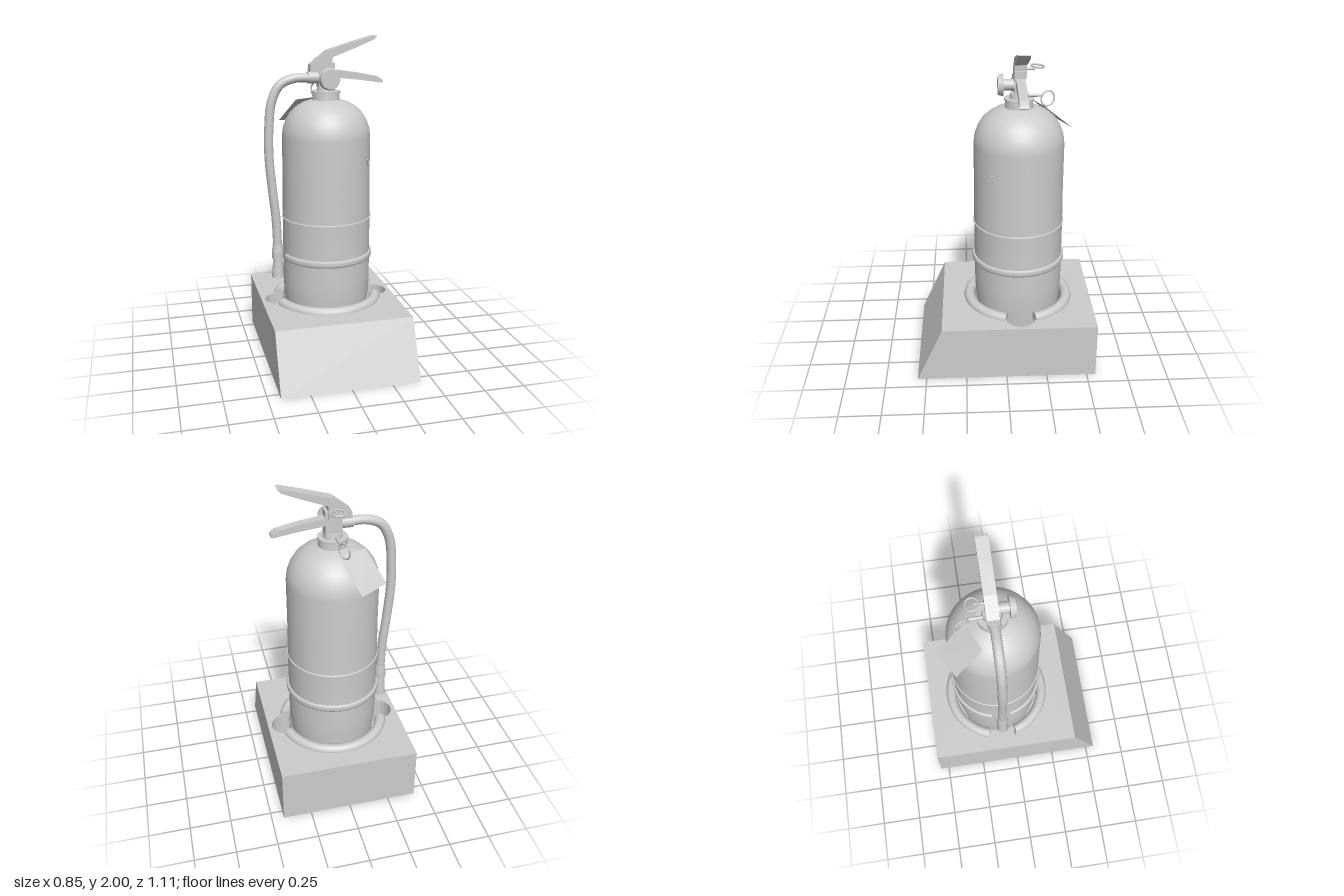
import * as THREE from 'three';

const AXIS_Z = -0.09; // the bottle stands a little behind the middle of the stand

export function createModel() {
  const root = new THREE.Group();
  root.name = 'extinguisherOnStand';
  const grey = new THREE.MeshStandardMaterial({ color: 0xcccccc, side: THREE.DoubleSide });
  grey.name = 'light grey';
  const V3 = (x, y, z) => new THREE.Vector3(x, y, z);
  const V2 = (x, y) => new THREE.Vector2(x, y);

  function add(parent, name, geometry, x = 0, y = 0, z = 0) {
    const mesh = new THREE.Mesh(geometry, grey);
    mesh.name = name;
    mesh.position.set(x, y, z);
    parent.add(mesh);
    return mesh;
  }

  // Faceted wall between two closed loops of points
  function loft(low, high) {
    const pos = [];
    low.forEach((a, i) => {
      const j = (i + 1) % low.length;
      for (const p of [a, low[j], high[j], a, high[j], high[i]]) pos.push(p.x, p.y, p.z);
    });
    const g = new THREE.BufferGeometry();
    g.setAttribute('position', new THREE.Float32BufferAttribute(pos, 3));
    g.computeVertexNormals();
    return g;
  }

  // ---- Stand: open underneath, sloping front, recess in the top ----
  const stand = new THREE.Group();
  stand.name = 'stand';
  root.add(stand);
  const W = 0.425, BACK = -0.555, TOP = 0.35, FLOOR = 0.17;
  const rect = (y, front) => [V3(-W, y, front), V3(W, y, front), V3(W, y, BACK), V3(-W, y, BACK)];
  add(stand, 'standSides', loft(rect(0, 0.555), rect(TOP, 0.395)));

  // Recess outline: a circle with a round finger notch on each side
  const outline = [];
  for (let i = 0; i < 120; i++) {
    const a = (i / 120) * Math.PI * 2;
    const s = Math.abs(Math.sin(a)), c = Math.abs(Math.cos(a));
    const notch = 0.09 ** 2 - (0.31 * s) ** 2;
    const r = notch > 0 ? 0.31 * c + Math.sqrt(notch) : 0.285;
    outline.push(V2(r * Math.cos(a), r * Math.sin(a) - AXIS_Z));
  }
  const topShape = new THREE.Shape([V2(-W, -0.395), V2(W, -0.395), V2(W, -BACK), V2(-W, -BACK)]);
  topShape.holes.push(new THREE.Path(outline));
  add(stand, 'standTop', new THREE.ShapeGeometry(topShape).rotateX(-Math.PI / 2), 0, TOP);
  add(stand, 'recessFloor', new THREE.ShapeGeometry(new THREE.Shape(outline)).rotateX(-Math.PI / 2), 0, FLOOR);
  const loop = y => outline.map(p => V3(p.x, y, -p.y)).reverse();
  add(stand, 'recessWall', loft(loop(FLOOR), loop(TOP)));

  // Raised rim in two halves
  const gap = 0.28;
  for (const start of [gap, Math.PI + gap]) {
    const rim = new THREE.Group();
    rim.name = 'rimHalf';
    rim.position.set(0, TOP, AXIS_Z);
    rim.rotation.y = start;
    stand.add(rim);
    const arc = Math.PI - 2 * gap;
    add(rim, 'rim', new THREE.TorusGeometry(0.313, 0.034, 14, 30, arc).rotateX(-Math.PI / 2));
    for (const a of [0, arc]) {
      add(rim, 'rimEnd', new THREE.CircleGeometry(0.034, 14),
        0.313 * Math.cos(a), 0, -0.313 * Math.sin(a)).rotation.y = a;
    }
  }

  // ---- Bottle ----
  const bottle = new THREE.Group();
  bottle.name = 'bottle';
  bottle.position.z = AXIS_Z;
  root.add(bottle);
  const lathe = (name, pts, seg = 48) =>
    add(bottle, name, new THREE.LatheGeometry(pts.map(p => V2(...p)), seg));
  lathe('lowerBody', [[0.25, 0.18], [0.262, 0.32], [0.272, 0.4], [0.275, 0.5], [0.275, 0.67]]);
  // The band ends in a small overhanging lip
  lathe('labelBand', [[0.275, 0.66], [0.275, 0.888], [0.281, 0.89]]);
  lathe('labelLip', [[0.281, 0.89], [0.281, 0.897], [0.272, 0.897]]);
  lathe('upperBody', [[0.275, 0.89], [0.272, 1.1], [0.272, 1.4], [0.266, 1.45], [0.248, 1.5],
    [0.22, 1.545], [0.182, 1.58], [0.14, 1.605], [0.085, 1.622]]);
  add(bottle, 'neck', new THREE.CylinderGeometry(0.08, 0.085, 0.06, 32), 0, 1.64);
  add(bottle, 'neckRing', new THREE.CylinderGeometry(0.088, 0.088, 0.012, 32), 0, 1.668);
  add(bottle, 'valveStem', new THREE.CylinderGeometry(0.052, 0.058, 0.03, 24), 0, 1.688);

  // Strap, open behind the hose
  const strapGap = 0.22;
  const strap = [[0.274, 0.63], [0.285, 0.63], [0.289, 0.64], [0.289, 0.66], [0.285, 0.67], [0.274, 0.67]];
  add(bottle, 'strap', new THREE.LatheGeometry(strap.map(p => V2(...p)), 48,
    -Math.PI / 2 + strapGap, 2 * Math.PI - 2 * strapGap));

  // Small pointed marker on the front left
  const marker = new THREE.Shape([V2(-0.014, 0.022), V2(0.014, 0.022), V2(0.008, -0.024)]);
  add(bottle, 'marker', new THREE.ExtrudeGeometry(marker, { depth: 0.008, bevelEnabled: false }),
    0.214, 1.25, 0.17).rotation.y = 0.9;

  // ---- Valve, levers and gauge ----
  const valve = new THREE.Group();
  valve.name = 'valve';
  valve.position.z = AXIS_Z;
  root.add(valve);
  add(valve, 'valveBody', new THREE.BoxGeometry(0.1, 0.15, 0.062), 0, 1.765);
  function lever(name, pts, width) {
    const g = new THREE.ExtrudeGeometry(new THREE.Shape(pts.map(p => V2(...p))),
      { depth: width, bevelEnabled: false });
    add(valve, name, g, 0, 0, -width / 2 - 0.005);
  }
  lever('upperLever', [[-0.105, 1.79], [0.03, 1.79], [0.035, 1.875], [0.17, 1.925], [0.29, 1.975],
    [0.312, 1.998], [0.3, 2], [0.16, 1.962], [0.005, 1.915], [-0.1, 1.832]], 0.07);
  lever('lowerLever', [[-0.02, 1.77], [0.06, 1.752], [0.21, 1.735], [0.345, 1.714], [0.357, 1.72],
    [0.35, 1.735], [0.325, 1.752], [0.2, 1.778], [0.05, 1.8], [-0.02, 1.815]], 0.052);
  const zCyl = (r0, r1, len) => new THREE.CylinderGeometry(r0, r1, len, 32).rotateX(Math.PI / 2);
  add(valve, 'gaugeStem', zCyl(0.032, 0.032, 0.08), 0, 1.752, 0.06);
  add(valve, 'gauge', zCyl(0.058, 0.066, 0.03), 0, 1.752, 0.108);
  add(valve, 'gaugeFace', zCyl(0.054, 0.054, 0.006), 0, 1.752, 0.123);

  // Safety pin with a flat pull ring
  add(valve, 'pin', zCyl(0.007, 0.007, 0.12), 0, 1.845, -0.03);
  add(valve, 'pinRing', new THREE.TorusGeometry(0.036, 0.006, 8, 24).rotateX(Math.PI / 2 - 0.1),
    -0.005, 1.86, -0.105);
  // Tag peg and ring
  add(valve, 'tagPeg', zCyl(0.01, 0.01, 0.1), -0.01, 1.685, -0.08);
  const ring = add(valve, 'tagRing', new THREE.TorusGeometry(0.045, 0.005, 8, 24), -0.025, 1.66, -0.17);
  ring.rotation.y = Math.PI / 2 + 0.45;

  // Card tag resting on the shoulder
  const tag = [V3(-0.17, 1.615, -0.17), V3(0.005, 1.62, -0.24), V3(-0.085, 1.455, -0.42), V3(-0.25, 1.465, -0.33)];
  const tagGeo = new THREE.BufferGeometry().setFromPoints([tag[0], tag[1], tag[2], tag[0], tag[2], tag[3]]);
  tagGeo.computeVertexNormals();
  add(root, 'tag', tagGeo);

  // ---- Hose ----
  const hose = new THREE.Group();
  hose.name = 'hose';
  hose.position.z = AXIS_Z;
  root.add(hose);
  const path = new THREE.CatmullRomCurve3([
    V3(-0.09, 1.755, 0), V3(-0.2, 1.752, 0), V3(-0.285, 1.715, 0), V3(-0.335, 1.62, 0), V3(-0.356, 1.45, 0),
    V3(-0.358, 1.28, 0), V3(-0.342, 1.08, 0), V3(-0.322, 0.88, 0), V3(-0.315, 0.68, 0)]);
  add(hose, 'hoseTube', new THREE.TubeGeometry(path, 64, 0.028, 14));
  add(hose, 'hoseFitting', new THREE.CylinderGeometry(0.036, 0.036, 0.07, 20).rotateZ(Math.PI / 2), -0.08, 1.755);
  add(hose, 'hoseCollar', new THREE.CylinderGeometry(0.031, 0.037, 0.05, 20), -0.315, 0.695);
  add(hose, 'hoseClip', new THREE.CylinderGeometry(0.037, 0.037, 0.045, 20), -0.315, 0.65);
  add(hose, 'nozzle', new THREE.CylinderGeometry(0.028, 0.039, 0.14, 20), -0.316, 0.57);

  return root;
}
